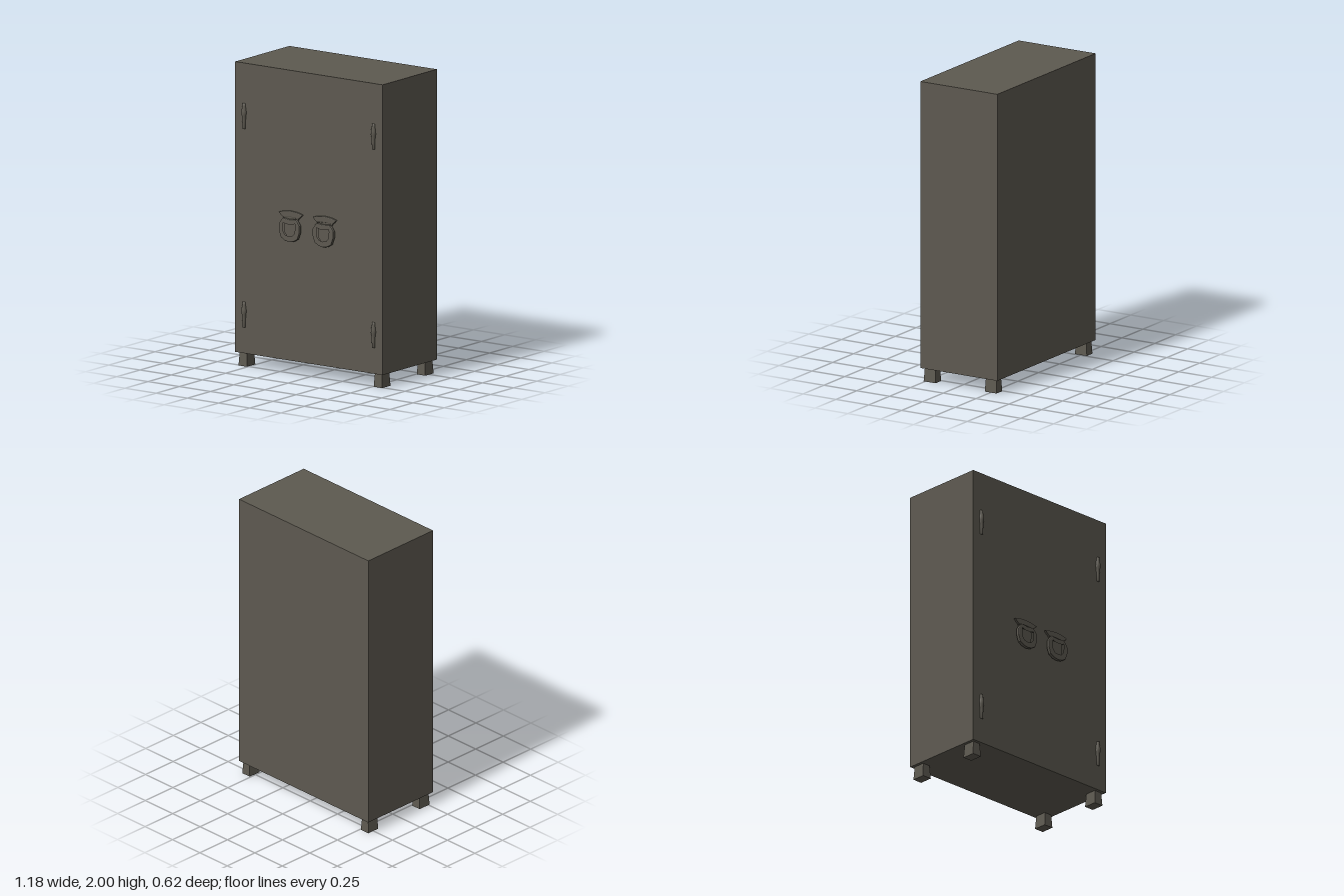
import * as THREE from 'three';

export function createModel() {
  const model = new THREE.Group();
  model.name = 'cabinet';
  const metal = new THREE.MeshStandardMaterial({ color: 0x5d5950 });
  metal.name = 'grey brown metal';
  const FRONT = 0.276;

  const add = (parent, name, geometry, x = 0, y = 0, z = 0) => {
    const mesh = new THREE.Mesh(geometry, metal);
    mesh.name = name;
    mesh.position.set(x, y, z);
    parent.add(mesh);
    return mesh;
  };
  const flat = (geometry) => {
    const g = geometry.index ? geometry.toNonIndexed() : geometry;
    g.computeVertexNormals();
    return g;
  };
  // Symmetric outline from the points of its right half, listed top to bottom
  const outline = (half) => {
    const left = half.filter(([x]) => x > 0).reverse().map(([x, y]) => [-x, y]);
    return [...half, ...left].map(([x, y]) => new THREE.Vector2(x, y));
  };
  const plate = (half, depth, bevel, hole) => {
    const shape = new THREE.Shape(outline(half));
    if (hole) shape.holes.push(new THREE.Path(outline(hole)));
    return new THREE.ExtrudeGeometry(shape, {
      depth, bevelEnabled: bevel > 0, bevelThickness: bevel, bevelSize: bevel,
      bevelOffset: -bevel, bevelSegments: 2,
    });
  };

  // Cabinet body
  add(model, 'body', new THREE.BoxGeometry(1.18, 1.91, 0.586), 0, 1.045, FRONT - 0.293);

  // Feet, slightly narrower at the top
  const footShape = new THREE.BoxGeometry(0.068, 0.092, 0.09);
  const pos = footShape.attributes.position;
  for (let i = 0; i < pos.count; i++) {
    if (pos.getY(i) > 0) pos.setXYZ(i, pos.getX(i) * 0.82, pos.getY(i), pos.getZ(i) * 0.88);
  }
  const foot = flat(footShape);
  for (const side of [-1, 1]) {
    add(model, 'frontFoot', foot, side * 0.541, 0.046, 0.215);
    add(model, 'backFoot', foot, side * 0.541, 0.046, -0.25);
  }

  // Turned hinge knuckles
  const hingeProfile = [
    [0, -0.085], [0.011, -0.084], [0.013, -0.03], [0.015, 0], [0.019, 0.015],
    [0.018, 0.035], [0.012, 0.065], [0.011, 0.083], [0, 0.085],
  ].map(([r, y]) => new THREE.Vector2(r, y));
  const hinge = new THREE.LatheGeometry(hingeProfile, 10);
  for (const side of [-1, 1]) {
    for (const y of [0.345, 1.651]) add(model, 'hinge', hinge, side * 0.518, y, FRONT);
  }

  // Handles: crescent mount, shield plate and hanging ring
  const crescent = plate([
    [0, 1.078], [0.04, 1.075], [0.07, 1.07], [0.095, 1.061], [0.078, 1.043],
    [0.06, 1.03], [0.03, 1.035], [0, 1.037],
  ], 0.007, 0.005);
  const neck = plate([
    [0, 1.038], [0.062, 1.034], [0.05, 1.012], [0.056, 1.0], [0.052, 0.93],
    [0.03, 0.905], [0, 0.9],
  ], 0.008, 0);
  const ring = plate([
    [0, 1.025], [0.05, 1.03], [0.068, 1.012], [0.083, 0.99], [0.083, 0.945],
    [0.066, 0.9], [0.035, 0.882], [0, 0.876],
  ], 0.012, 0.006, [
    [0, 0.998], [0.03, 1.0], [0.052, 1.01], [0.056, 0.985], [0.052, 0.94],
    [0.032, 0.914], [0, 0.908],
  ]);
  const bar = new THREE.CylinderGeometry(0.011, 0.011, 0.11, 10).rotateZ(Math.PI / 2);
  for (const side of [-1, 1]) {
    const handle = new THREE.Group();
    handle.name = side > 0 ? 'leftHandle' : 'rightHandle';
    handle.position.set(side * 0.135, 0, FRONT);
    add(handle, 'crescentMount', crescent, 0, 0, 0.004);
    add(handle, 'shieldPlate', neck);
    add(handle, 'pullRing', ring, 0, 0, 0.016);
    add(handle, 'ringBar', bar, 0, 1.015, 0.022);
    model.add(handle);
  }
  return model;
}
